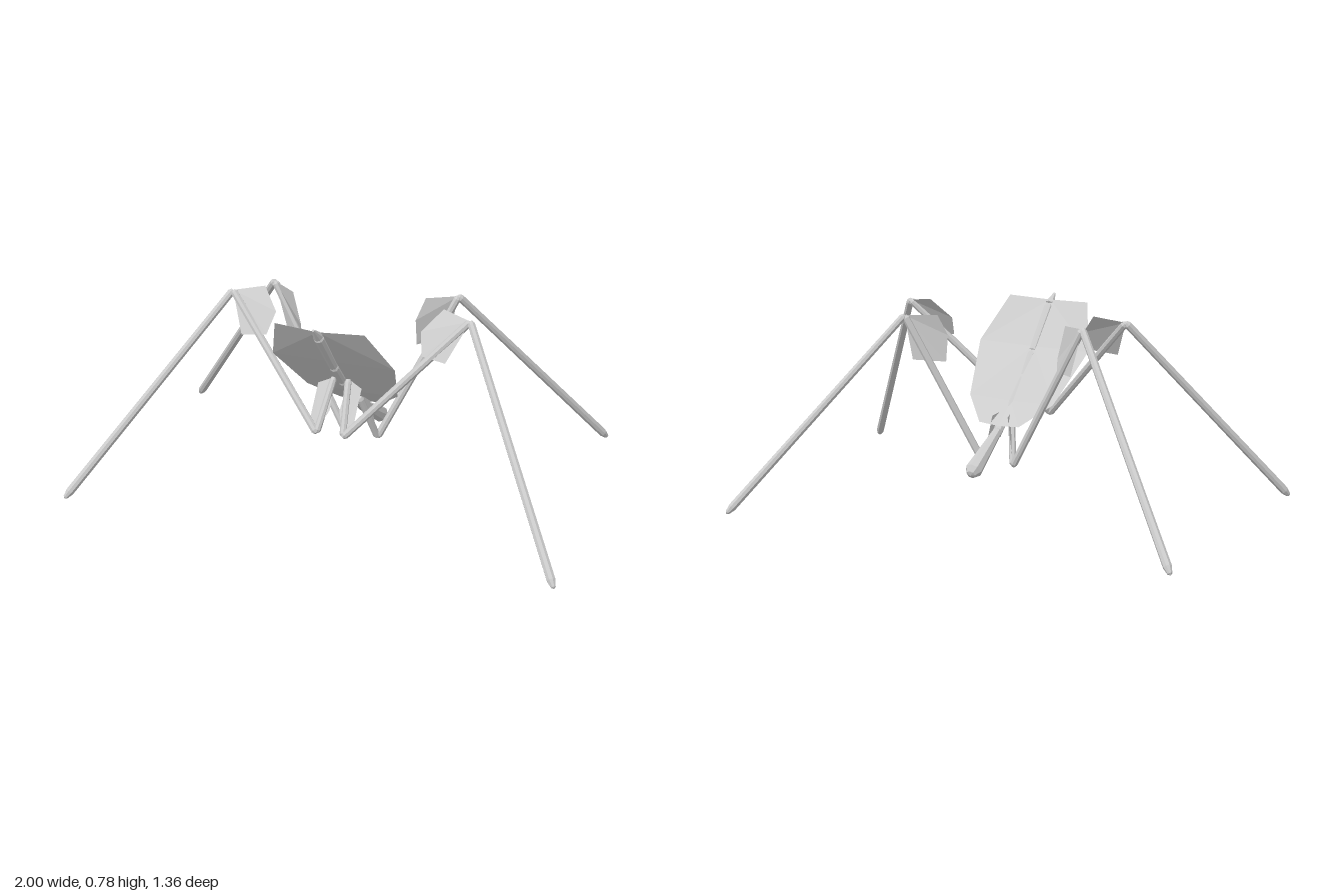
import * as THREE from 'three';

const metal = new THREE.MeshStandardMaterial({ color: 0xcccccc, flatShading: true });
const sheet = new THREE.MeshStandardMaterial({ color: 0xcccccc, flatShading: true, side: THREE.DoubleSide });
const UP = new THREE.Vector3(0, 1, 0);

// Faceted rod between two points, with radii r0 and r1 and bevelled ends
function rod(name, a, b, r0 = 0.016, r1 = r0, tip = 0.012) {
  const from = new THREE.Vector3(...a);
  const dir = new THREE.Vector3(...b).sub(from);
  const len = dir.length();
  const profile = [
    [0, 0], [r0 * 0.6, 0], [r0, 0.012],
    [r1, len - tip], [r1 * 0.55, len - tip * 0.2], [0, len],
  ].map(([x, y]) => new THREE.Vector2(x, y));
  const mesh = new THREE.Mesh(new THREE.LatheGeometry(profile, 8), metal);
  mesh.name = name;
  mesh.position.copy(from);
  mesh.quaternion.setFromUnitVectors(UP, dir.normalize());
  return mesh;
}

// Thin sheet: a fan of triangles around the first corner
function plate(name, corners) {
  const pos = [];
  for (let i = 1; i < corners.length - 1; i++) pos.push(...corners[0], ...corners[i], ...corners[i + 1]);
  const geo = new THREE.BufferGeometry();
  geo.setAttribute('position', new THREE.Float32BufferAttribute(pos, 3));
  geo.computeVertexNormals();
  const mesh = new THREE.Mesh(geo, sheet);
  mesh.name = name;
  return mesh;
}

// Leg: coxa from the body to the hip, femur up to the knee, tibia down to the foot
function leg(name, { root, hip, knee, foot, coxaPlate, kneePlate }) {
  const g = new THREE.Group();
  g.name = name;
  g.add(
    rod('coxa', root, hip, 0.014),
    rod('femur', hip, knee, 0.015),
    rod('tibia', knee, foot, 0.015, 0.017, 0.035),
    plate('coxaPlate', coxaPlate),
    plate('kneePlate', [knee, ...kneePlate]),
  );
  return g;
}

const mirrorX = ([x, y, z]) => [-x, y, z];

export function createModel() {
  const model = new THREE.Group();
  model.name = 'walker';

  // Back shield: rows of half width, edge height, z, and a centre line
  const rows = [
    [0.18, 0.772, 0.44, 0.765, 0.455],
    [0.25, 0.597, 0.31, 0.595, 0.31],
    [0.19, 0.41, 0.12, 0.405, 0.12],
    [0.09, 0.33, 0.02, 0.325, 0.015],
  ];
  const shield = new THREE.Group();
  shield.name = 'backShield';
  for (let i = 0; i < rows.length - 1; i++) {
    const [w0, y0, z0, c0, cz0] = rows[i];
    const [w1, y1, z1, c1, cz1] = rows[i + 1];
    for (const s of [1, -1]) {
      shield.add(plate('shieldPanel', [[0, c0, cz0], [s * w0, y0, z0], [s * w1, y1, z1], [0, c1, cz1]]));
    }
  }
  model.add(shield);

  // Spine under the shield, thickening into the tail
  const spine = [
    [0.785, 0.495, 0.008], [0.745, 0.45, 0.02], [0.575, 0.305, 0.017],
    [0.485, 0.22, 0.016], [0.375, 0.105, 0.015], [0.29, 0.0, 0.018],
  ];
  for (let i = 0; i < spine.length - 1; i++) {
    const [y0, z0, r0] = spine[i];
    const [y1, z1, r1] = spine[i + 1];
    model.add(rod('spine', [0, y0, z0], [0, y1, z1], r0, r1, 0.004));
  }
  model.add(rod('tail', [0, 0.31, 0.02], [0, 0.175, -0.208], 0.018, 0.034, 0.03));

  // Front legs are mirrored
  const front = {
    root: [0.03, 0.5, 0.23], hip: [0.055, 0.31, 0.35], knee: [0.49, 0.77, 0.15], foot: [0.995, 0.008, 0.672],
    coxaPlate: [[0.055, 0.32, 0.345], [0.09, 0.36, 0.325], [0.09, 0.475, 0.245], [0.03, 0.5, 0.228], [0.02, 0.39, 0.3]],
    kneePlate: [[0.37, 0.79, 0.11], [0.3, 0.71, 0.165], [0.32, 0.63, 0.215], [0.42, 0.62, 0.23]],
  };
  const mirrored = {};
  for (const [k, v] of Object.entries(front)) mirrored[k] = Array.isArray(v[0]) ? v.map(mirrorX) : mirrorX(v);
  model.add(leg('frontLeftLeg', front), leg('frontRightLeg', mirrored));

  // Rear legs stand in different steps of the stride
  model.add(leg('rearLeftLeg', {
    root: [0.02, 0.37, 0.09], hip: [0.06, 0.17, 0.0], knee: [0.35, 0.765, -0.12], foot: [0.835, 0.02, -0.68],
    coxaPlate: [[0.06, 0.18, 0.0], [0.02, 0.37, 0.09], [0.035, 0.36, 0.03]],
    kneePlate: [[0.24, 0.765, -0.05], [0.21, 0.68, -0.02], [0.21, 0.575, -0.035], [0.31, 0.59, -0.125]],
  }));
  model.add(leg('rearRightLeg', {
    root: [-0.02, 0.37, 0.09], hip: [-0.07, 0.17, 0.01], knee: [-0.39, 0.765, -0.025], foot: [-0.98, 0.02, -0.485],
    coxaPlate: [[-0.07, 0.18, 0.01], [-0.02, 0.37, 0.09], [-0.035, 0.36, 0.03]],
    kneePlate: [[-0.28, 0.755, 0.045], [-0.25, 0.62, 0.04], [-0.27, 0.58, 0.0], [-0.345, 0.575, -0.035]],
  }));

  return model;
}
